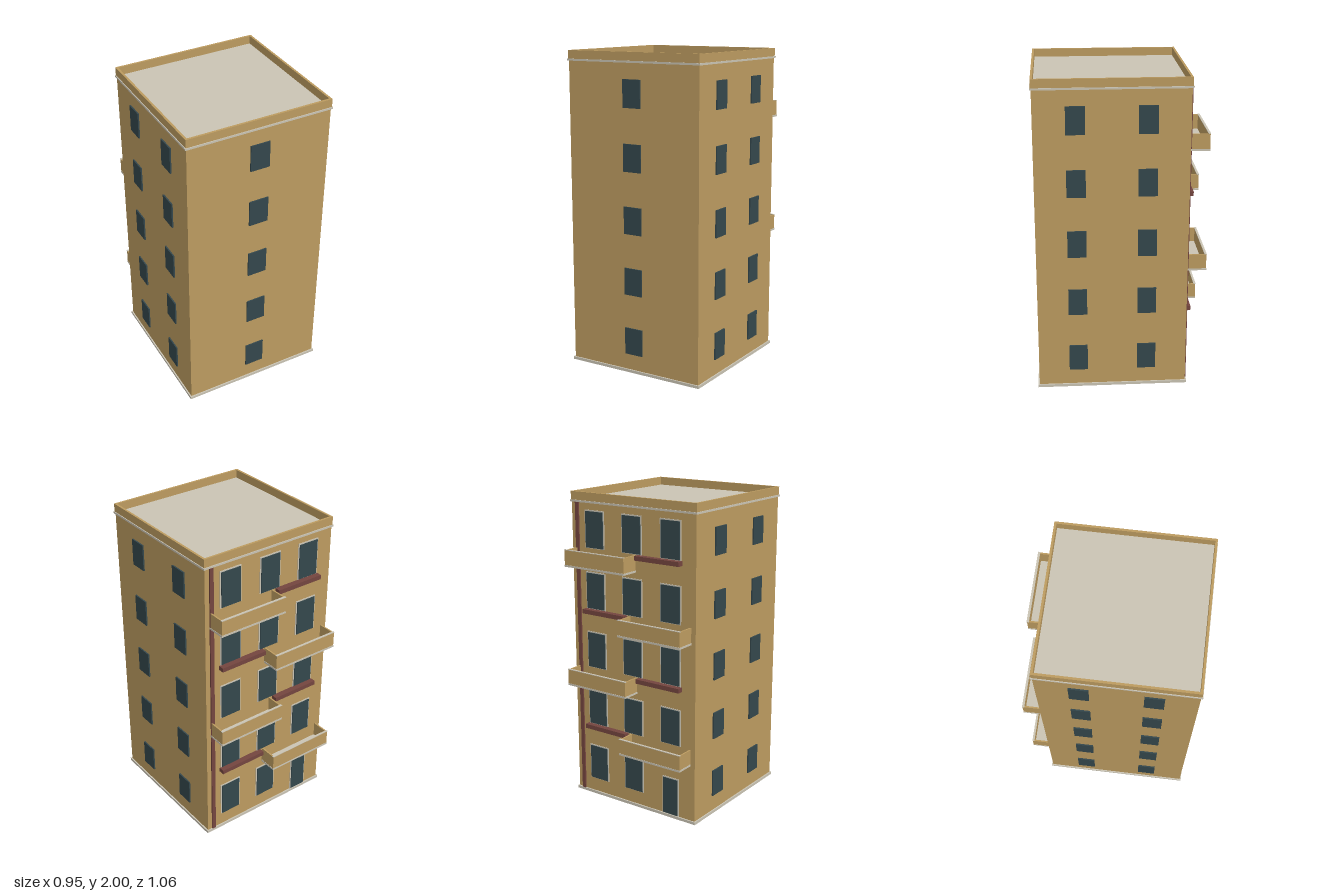
import * as THREE from 'three';

const mat = (name, color) => {
  const m = new THREE.MeshStandardMaterial({ color });
  m.name = name;
  return m;
};

export function createModel() {
  const wall = mat('ochreWall', 0xbc9b60);
  const stone = mat('paleStone', 0xcac4b4);
  const glass = mat('darkGlass', 0x34474c);
  const brown = mat('brownMetal', 0x74453f);

  const model = new THREE.Group();
  model.name = 'apartmentBlock';

  // Box given by its lower and upper limits on each axis
  const box = (name, material, x0, x1, y0, y1, z0, z1, parent = model) => {
    const mesh = new THREE.Mesh(new THREE.BoxGeometry(x1 - x0, y1 - y0, z1 - z0), material);
    mesh.position.set((x0 + x1) / 2, (y0 + y1) / 2, (z0 + z1) / 2);
    mesh.name = name;
    parent.add(mesh);
    return mesh;
  };

  const W = 0.467, BACK = -0.412, FRONT = 0.522, FLOOR = 0.387, FLOORS = 5;

  // Main block with base course and cornice
  box('basePlinth', stone, -0.476, 0.476, 0, 0.018, -0.421, 0.531);
  box('mainWalls', wall, -W, W, 0.018, 1.936, BACK, FRONT);
  box('cornice', stone, -0.476, 0.476, 1.936, 1.948, -0.421, 0.531);

  // Parapet ring around the flat roof
  const P = 0.471, T = 0.014, pz0 = -0.416, pz1 = 0.526;
  const ring = new THREE.Shape([
    new THREE.Vector2(-P, -pz0), new THREE.Vector2(-P, -pz1),
    new THREE.Vector2(P, -pz1), new THREE.Vector2(P, -pz0)]);
  ring.holes.push(new THREE.Path([
    new THREE.Vector2(-P + T, -pz0 - T), new THREE.Vector2(P - T, -pz0 - T),
    new THREE.Vector2(P - T, -pz1 + T), new THREE.Vector2(-P + T, -pz1 + T)]));
  const ringGeo = new THREE.ExtrudeGeometry(ring, { depth: 0.052, bevelEnabled: false });
  ringGeo.rotateX(-Math.PI / 2);
  const parapet = new THREE.Mesh(ringGeo, wall);
  parapet.position.y = 1.948;
  parapet.name = 'roofParapet';
  model.add(parapet);

  // Framed opening on the back wall
  const backOpening = (name, x, w, y0, y1) => {
    const g = new THREE.Group();
    g.name = name;
    const f = 0.008;
    box('frame', stone, x - w / 2, x + w / 2, y0, y1, BACK - 0.004, BACK + 0.002, g);
    box('pane', glass, x - w / 2 + f, x + w / 2 - f, y0 + f / 2, y1 - f, BACK - 0.009, BACK - 0.003, g);
    model.add(g);
  };

  for (let i = 0; i < FLOORS; i++) {
    const y = i * FLOOR;
    // Front and side windows
    box('frontWindow', glass, -0.063, 0.063, y + 0.12, y + 0.291, FRONT, FRONT + 0.008);
    for (const s of [-1, 1])
      for (const z of [0.271, -0.159])
        box('sideWindow', glass, s * 0.4715 - 0.0045, s * 0.4715 + 0.0045,
          y + 0.12, y + 0.291, z - 0.058, z + 0.058);
    // Back windows, with the entrance door at ground level
    for (const x of [-0.287, 0, 0.287]) {
      if (i === 0 && x < 0) backOpening('entranceDoor', x, 0.125, 0.019, 0.272);
      else backOpening('backWindow', x, 0.152, y + 0.108, y + 0.346);
    }
  }

  // Balconies alternate sides, each with a planter ledge opposite
  for (let i = 1; i < FLOORS; i++) {
    const s = i % 2 ? -1 : 1;
    const y = i * FLOOR - 0.002, top = y + 0.108;
    const x0 = s > 0 ? -0.029 : -0.437, x1 = x0 + 0.466;
    const g = new THREE.Group();
    g.name = 'balcony';
    box('balconySlab', stone, x0, x1, y, y + 0.012, -0.533, BACK, g);
    box('balconyFrontWall', wall, x0 + 0.002, x1 - 0.002, y + 0.012, top - 0.004, -0.531, -0.521, g);
    box('balconyCap', stone, x0, x1, top - 0.004, top, -0.533, -0.519, g);
    for (const x of [x0 + 0.002, x1 - 0.012])
      box('balconySideWall', wall, x, x + 0.01, y + 0.012, top - 0.003, -0.521, BACK, g);
    model.add(g);

    const c = -s * 0.2075;
    box('planterLedge', brown, c - 0.1625, c + 0.1625, top - 0.027, top + 0.001, -0.45, BACK);
  }

  // Drainpipe down the back corner
  box('drainpipe', brown, 0.41, 0.436, 0.018, 1.936, -0.421, BACK);

  return model;
}
